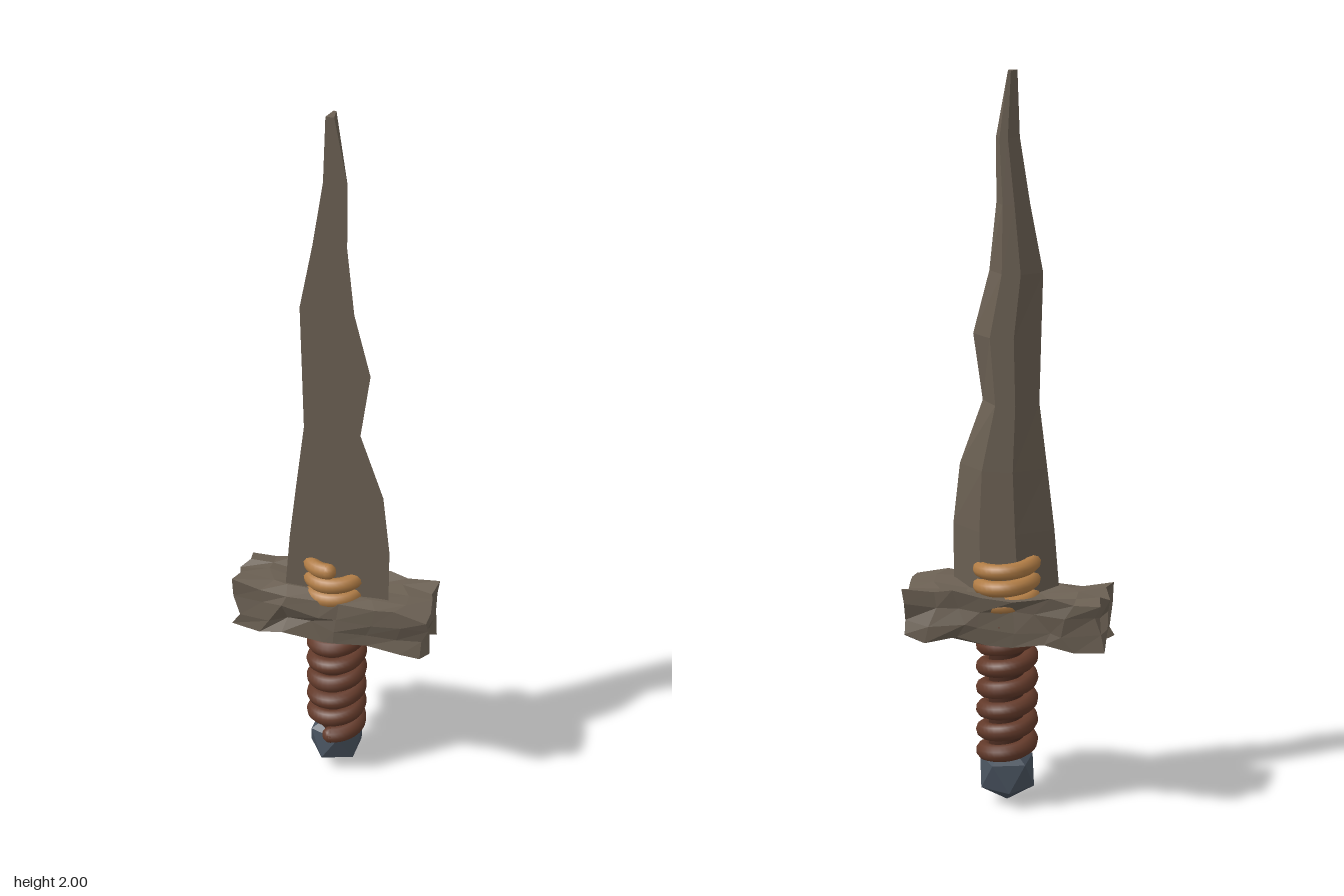
import * as THREE from 'three';

const mat = (name, color, flat) => {
  const m = new THREE.MeshStandardMaterial({ color, flatShading: flat });
  m.name = name;
  return m;
};

// Repeatable noise in -1..1 from a position, so shared corners stay joined
function noise(x, y, z, k) {
  const s = Math.sin(x * 127.1 + y * 311.7 + z * 74.7 + k * 53.3) * 43758.5453;
  return (s - Math.floor(s)) * 2 - 1;
}

// Rope wound upwards around the y axis, with rounded ends
function coil(name, radius, thick, y0, y1, turns, start, material) {
  class Helix extends THREE.Curve {
    getPoint(t, target = new THREE.Vector3()) {
      const a = start + t * turns * Math.PI * 2;
      return target.set(radius * Math.sin(a), y0 + (y1 - y0) * t, radius * Math.cos(a));
    }
  }
  const path = new Helix();
  const group = new THREE.Group();
  group.name = name;
  const rope = new THREE.Mesh(new THREE.TubeGeometry(path, Math.round(turns * 32), thick, 10), material);
  rope.name = name + 'Rope';
  group.add(rope);
  for (const t of [0, 1]) {
    const end = new THREE.Mesh(new THREE.SphereGeometry(thick, 10, 8), material);
    end.name = name + 'End';
    end.position.copy(path.getPoint(t));
    group.add(end);
  }
  return group;
}

// Wavy blade: flat wide front, bevelled sides and a narrow flat back
function bladeGeometry() {
  // height, left edge, right edge
  const rows = [
    [0.56, -0.14, 0.16], [0.78, -0.122, 0.16], [0.95, -0.102, 0.14], [1.13, -0.08, 0.075],
    [1.31, -0.085, 0.1], [1.48, -0.09, 0.055], [1.66, -0.055, 0.035], [1.83, -0.028, 0.035],
    [2.0, -0.022, 0.0],
  ];
  const pos = [], idx = [];
  for (const [y, l, r] of rows) {
    const t = (y - 0.56) / 1.44;
    const front = 0.042 - 0.02 * t, back = -0.037 + 0.017 * t;
    const mid = (l + r) / 2, half = (r - l) / 2 * 0.35;
    pos.push(l, y, front, r, y, front, mid + half, y, back, mid - half, y, back);
  }
  for (let i = 0; i < rows.length - 1; i++) {
    for (let j = 0; j < 4; j++) {
      const a = i * 4 + j, b = i * 4 + (j + 1) % 4;
      idx.push(a, b, b + 4, a, b + 4, a + 4);
    }
  }
  const n = (rows.length - 1) * 4;
  idx.push(n, n + 1, n + 2, n, n + 2, n + 3, 0, 2, 1, 0, 3, 2);
  const g = new THREE.BufferGeometry();
  g.setAttribute('position', new THREE.Float32BufferAttribute(pos, 3));
  g.setIndex(idx);
  g.computeVertexNormals();
  return g;
}

// Rough timber block with grain along x and splintered ends
function guardGeometry() {
  const g = new THREE.BoxGeometry(0.54, 0.135, 0.175, 7, 3, 4);
  const p = g.attributes.position;
  for (let i = 0; i < p.count; i++) {
    const x = p.getX(i), y = p.getY(i), z = p.getZ(i);
    const key = [x, y, z].map((v) => Math.round(v * 1000));
    const end = Math.abs(x) > 0.26;
    p.setXYZ(i,
      x + noise(...key, 1) * (end ? 0.018 : 0.025),
      y + noise(...key, 2) * 0.011,
      z + noise(...key, 3) * 0.011);
  }
  g.computeVertexNormals();
  return g;
}

export function createModel() {
  const stone = mat('bladeStone', 0x6b6053, true);
  const wood = mat('guardWood', 0x6b6053, true);
  const gold = mat('tanRope', 0xb07c45, false);
  const brown = mat('brownLeather', 0x633a2a, false);
  const core = mat('darkCore', 0x4a2b20, false);
  const slate = mat('slatePommel', 0x48525e, true);

  const model = new THREE.Group();
  model.name = 'dagger';
  const add = (name, geometry, material, y = 0) => {
    const mesh = new THREE.Mesh(geometry, material);
    mesh.name = name;
    mesh.position.y = y;
    model.add(mesh);
  };

  add('blade', bladeGeometry(), stone);
  add('guard', guardGeometry(), wood, 0.552);

  // Grip and its wrappings
  add('gripCore', new THREE.CylinderGeometry(0.05, 0.05, 0.4, 16), core, 0.32);
  model.add(coil('gripWrap', 0.062, 0.024, 0.13, 0.53, 6.5, 0, brown));
  model.add(coil('bladeBinding', 0.071, 0.022, 0.57, 0.707, 2.9, 0.6, gold));

  // Faceted pommel standing on one corner
  const gem = new THREE.IcosahedronGeometry(0.086, 0);
  gem.rotateZ(-Math.atan(2 / (1 + Math.sqrt(5))));
  add('pommel', gem, slate, 0.086);

  return model;
}
